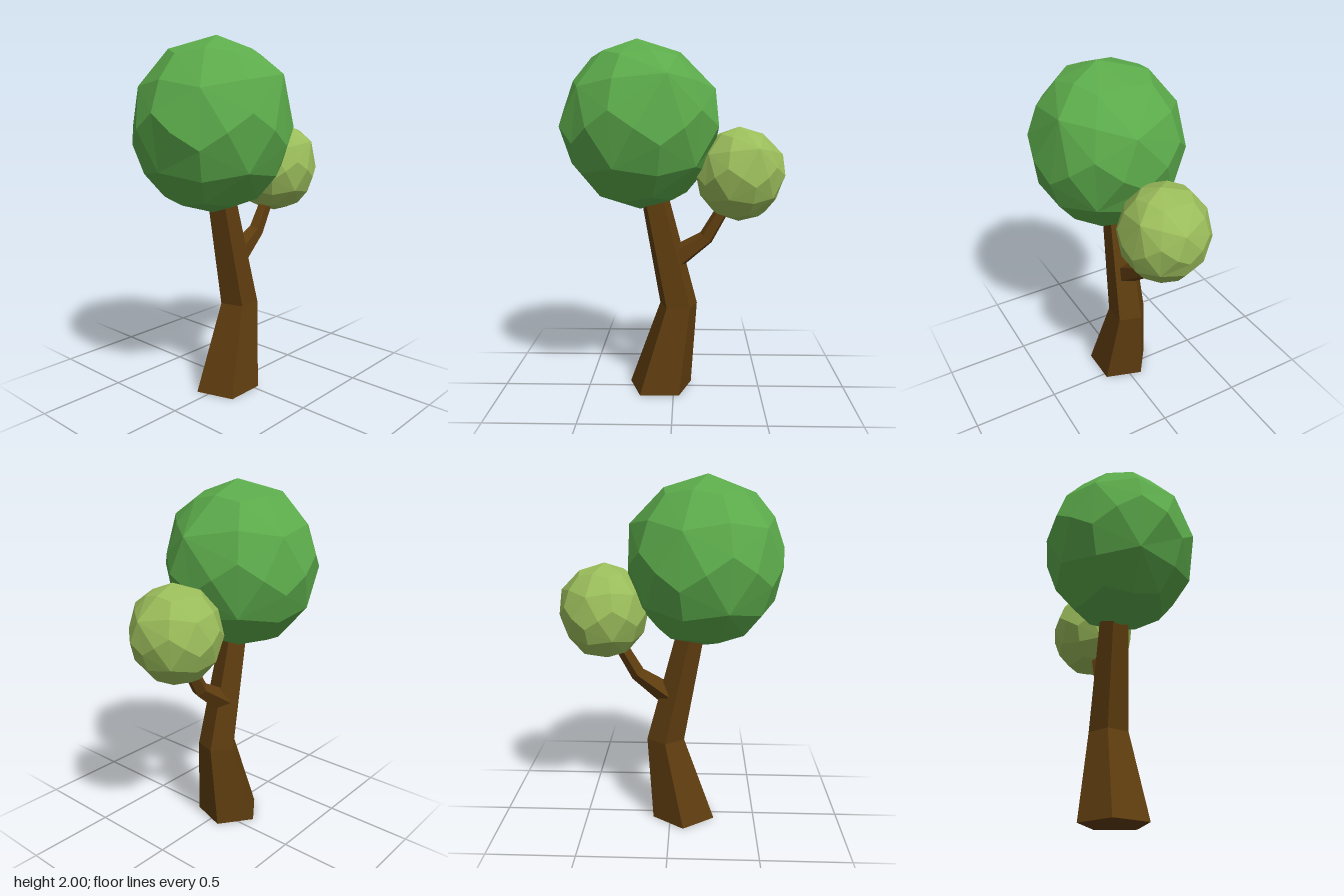
import * as THREE from 'three';

const V = (x, y, z) => new THREE.Vector3(x, y, z);

function makeMesh(name, points, color) {
  const geometry = new THREE.BufferGeometry().setFromPoints(points);
  geometry.computeVertexNormals();
  const mesh = new THREE.Mesh(geometry, new THREE.MeshStandardMaterial({ color, flatShading: true }));
  mesh.name = name;
  return mesh;
}

// Five-sided limb through rings of [x, y, z, radius, tilt in degrees]
function limb(name, rings, color) {
  const loops = rings.map(([x, y, z, r, tilt]) => {
    const t = THREE.MathUtils.degToRad(tilt);
    return Array.from({ length: 5 }, (_, i) => {
      const a = (i / 5) * Math.PI * 2;
      const u = r * Math.sin(a);
      return V(x + u * Math.cos(t), y + u * Math.sin(t), z - r * Math.cos(a));
    });
  });
  const pts = [];
  for (let k = 0; k < loops.length - 1; k++) {
    for (let i = 0; i < 5; i++) {
      const j = (i + 1) % 5;
      const [lo, up] = [loops[k], loops[k + 1]];
      pts.push(lo[i], up[i], up[j], lo[i], up[j], lo[j]);
    }
  }
  const first = loops[0];
  const last = loops[loops.length - 1];
  for (let i = 1; i < 4; i++) {
    pts.push(first[0], first[i], first[i + 1], last[0], last[i + 1], last[i]);
  }
  return makeMesh(name, pts, color);
}

// Slightly uneven corners of the crown, in unit-sphere coordinates: [regular, moved]
const BUMPS = [
  [V(0, 1, 0), V(-0.02, 1, 0.1)],
  [V(0.276, 0.447, 0.851), V(0.38, 0.58, 0.81)],
  [V(0.894, 0.447, 0), V(0.97, 0.43, 0.12)],
  [V(0.951, 0, 0.309), V(1.01, 0, 0.32)],
  [V(-0.951, 0, 0.309), V(-0.99, 0, 0.32)],
];

// Ball of 60 kite faces: each icosahedron triangle becomes three quads on the sphere
function crown(name, radius, height, color) {
  const ring = (y, start) => Array.from({ length: 5 }, (_, i) => {
    const a = start + (i * Math.PI * 2) / 5;
    return V(0.8944 * Math.cos(a), y, 0.8944 * Math.sin(a));
  });
  const up = ring(0.4472, 0);
  const low = ring(-0.4472, Math.PI / 5);
  const top = V(0, 1, 0);
  const bottom = V(0, -1, 0);
  const triangles = [];
  for (let i = 0; i < 5; i++) {
    const j = (i + 1) % 5;
    triangles.push([top, up[i], up[j]], [up[i], low[i], up[j]],
      [low[i], low[j], up[j]], [bottom, low[i], low[j]]);
  }
  const onSphere = (...ps) => ps.reduce((s, p) => s.add(p), V(0, 0, 0)).normalize();
  const place = (p) => {
    const bump = BUMPS.find(([from]) => from.distanceTo(p) < 0.02);
    return (bump ? bump[1] : p).clone().multiply(V(radius, height, radius));
  };
  const pts = [];
  for (const t of triangles) {
    const centre = onSphere(...t);
    // Keep every face turned outward
    const normal = t[1].clone().sub(t[0]).cross(t[2].clone().sub(t[0]));
    const [a, b, c] = normal.dot(centre) > 0 ? t : [t[0], t[2], t[1]];
    for (const [p, next, prev] of [[a, b, c], [b, c, a], [c, a, b]]) {
      const q = [p, onSphere(p, next), centre, onSphere(p, prev)].map(place);
      pts.push(q[0], q[1], q[2], q[0], q[2], q[3]);
    }
  }
  return makeMesh(name, pts, color);
}

export function createModel() {
  const tree = new THREE.Group();
  tree.name = 'tree';
  const bark = 0x5f3d0f;

  // Bent trunk and its side branch
  tree.add(limb('trunk', [
    [-0.08, 0, -0.01, 0.19, 0],
    [0.027, 0.5, -0.01, 0.113, 0],
    [-0.125, 1.2, -0.015, 0.08, 0],
  ], bark));
  tree.add(limb('branch', [
    [-0.02, 0.755, -0.015, 0.075, -50],
    [0.185, 0.895, -0.015, 0.046, -42],
    [0.32, 1.13, -0.015, 0.037, -30],
  ], bark));

  // Leaf crowns
  const large = crown('largeCrown', 0.432, 0.468, 0x5cab4b);
  large.position.set(-0.19, 1.532, 0);
  const small = crown('smallCrown', 0.247, 0.268, 0x9bbd5b);
  small.position.set(0.37, 1.26, -0.025);
  tree.add(large, small);
  return tree;
}
